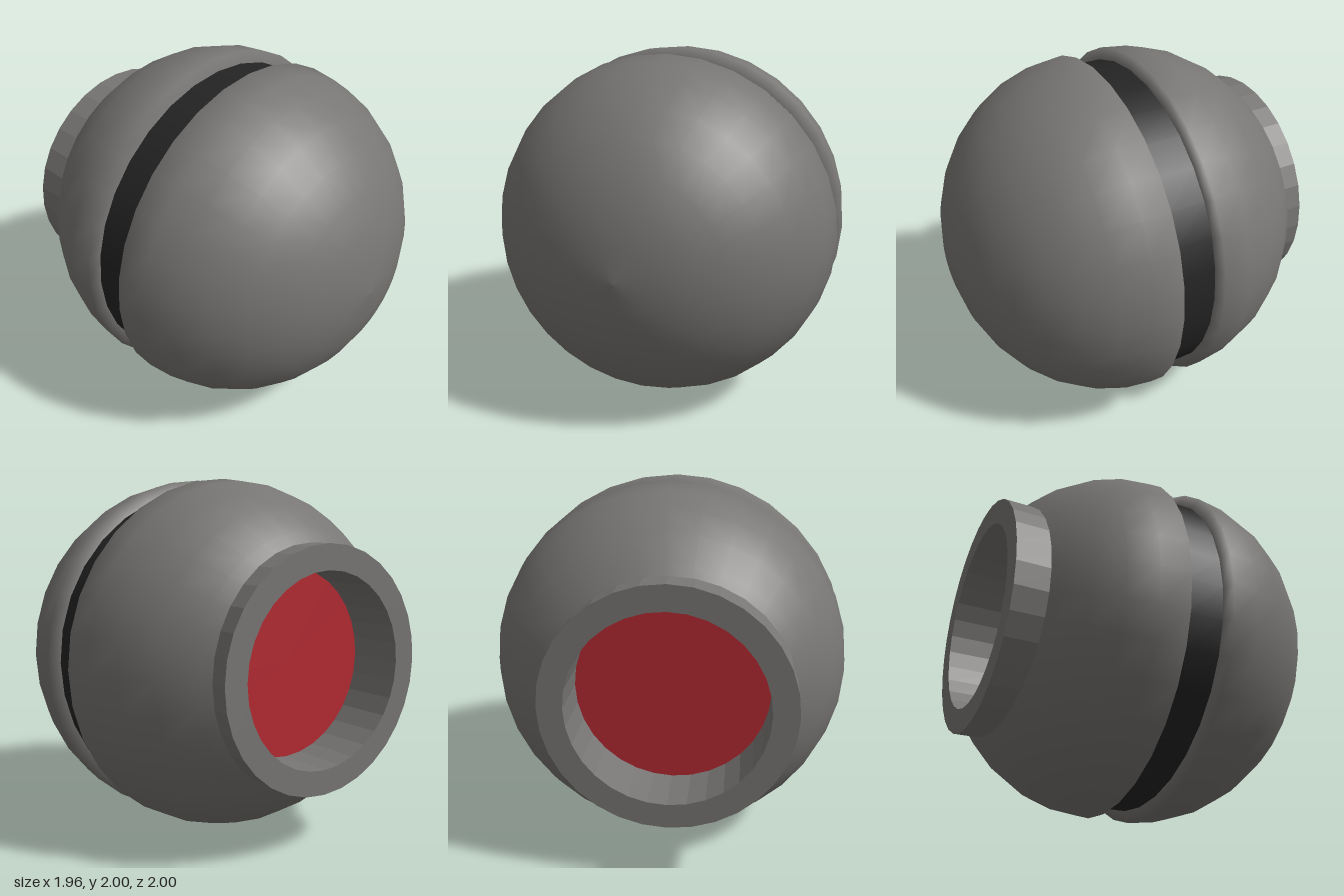
import * as THREE from 'three';

const CENTER_Y = 1;
const PORT_Z = 0.055; // sideways offset of the round port
const SEGMENTS = 32;

export function createModel() {
  const model = new THREE.Group();
  const grey = new THREE.MeshStandardMaterial({ color: 0x787674 });
  const black = new THREE.MeshStandardMaterial({ color: 0x242424 });
  const red = new THREE.MeshStandardMaterial({ color: 0xb42a32 });

  // Lathe around the x axis from [x, radius] pairs
  const turned = (pairs) => {
    const points = pairs.map(([x, r]) => new THREE.Vector2(r, x));
    return new THREE.LatheGeometry(points, SEGMENTS).rotateZ(-Math.PI / 2);
  };
  const add = (name, geometry, material, z = 0) => {
    const mesh = new THREE.Mesh(geometry, material);
    mesh.name = name;
    mesh.position.set(0, CENTER_Y, z);
    model.add(mesh);
  };
  const bulge = (r) => 0.915 * Math.sqrt(Math.max(0, 1 - r * r));

  // Plain half shell with a bevelled groove lip
  const half = [[0.055, 0.935], [0.08, 1]];
  for (let k = 1; k <= 8; k++) {
    const a = (k * Math.PI) / 16;
    half.push([0.06 + 0.915 * Math.sin(a), k === 8 ? 0 : Math.cos(a)]);
  }
  add('plainHalfShell', turned(half), grey);

  // Half shell with an off-centre hole for the port
  const open = [0.58, 0.707, 0.831, 0.924, 0.981].map((r) => [-0.16 - bulge(r), r]);
  open.push([-0.17, 1], [-0.15, 0.935]);
  const openGeometry = turned(open);
  const pos = openGeometry.attributes.position;
  for (let i = 0; i < pos.count; i++) {
    if (pos.getX(i) > -0.2) continue;
    const y = pos.getY(i);
    const r = Math.hypot(y, pos.getZ(i));
    const z = pos.getZ(i) + PORT_Z * Math.max(0, (0.981 - r) / 0.401);
    pos.setXYZ(i, -0.16 - bulge(Math.hypot(y, z)), y, z);
  }
  add('openHalfShell', openGeometry, grey);

  // Dark band at the bottom of the groove
  add('grooveBand', turned([[-0.152, 0.935], [0.057, 0.935]]), black);

  // Faceted port collar: inner wall, face and outer wall
  const collar = turned([[-0.66, 0.52], [-0.985, 0.52], [-0.985, 0.655], [-0.72, 0.655]]).toNonIndexed();
  collar.computeVertexNormals();
  add('portCollar', collar, grey, PORT_Z);

  // Recessed disc inside the collar
  const disc = new THREE.CircleGeometry(0.525, SEGMENTS).rotateY(-Math.PI / 2).translate(-0.68, 0, 0);
  add('portDisc', disc, red, PORT_Z);

  return model;
}
